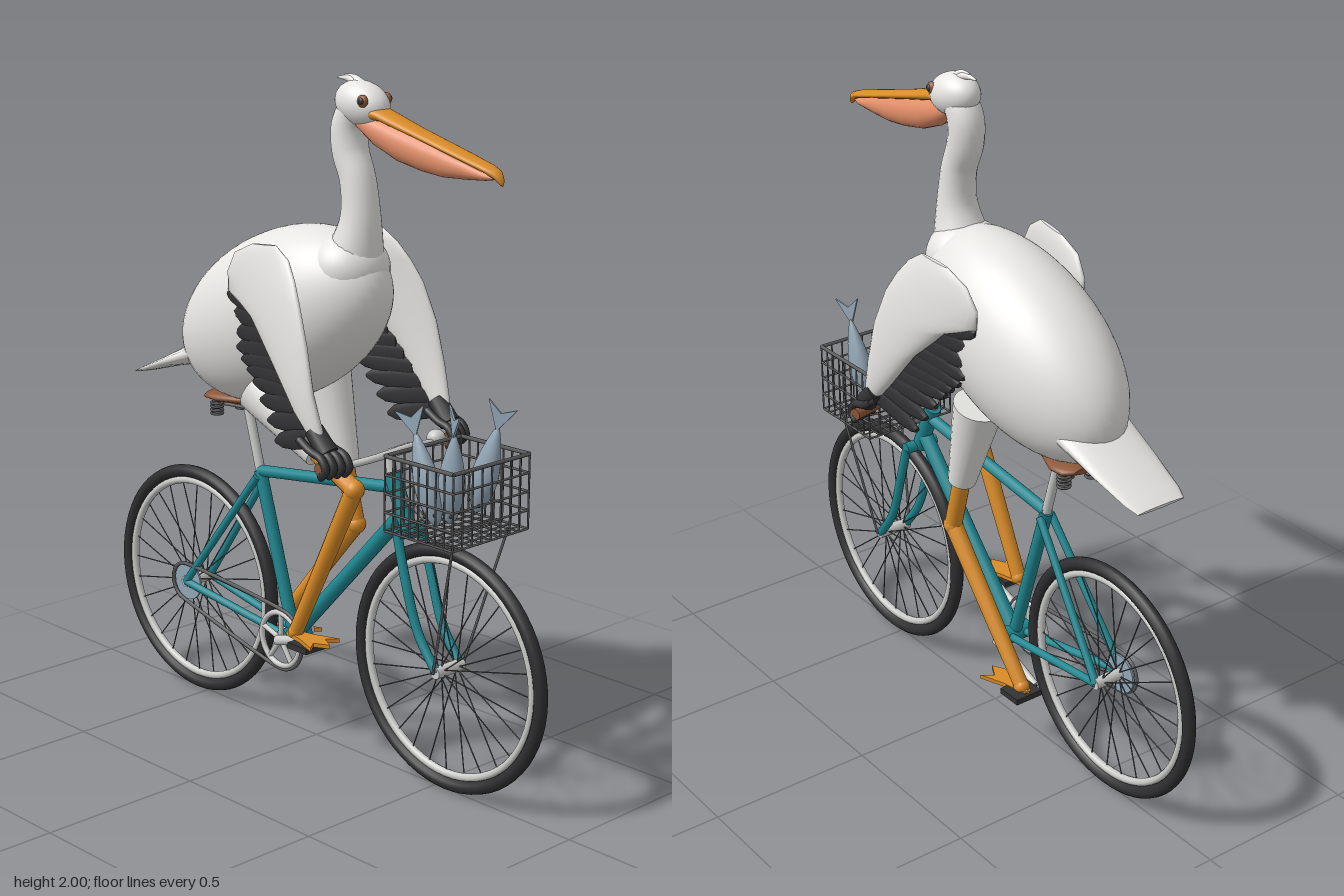
import * as THREE from 'three';

const mat = (name, color, side = THREE.FrontSide) => {
  const m = new THREE.MeshStandardMaterial({ color, side });
  m.name = name;
  return m;
};
const V = (x, y, z = 0) => new THREE.Vector3(x, y, z);
const X = V(1, 0), Y = V(0, 1), Z = V(0, 0, 1);

export function createModel() {
  const plumage = mat('plumage', 0xe6e5e2), black = mat('flight feathers', 0x333335);
  const rubber = mat('rubber', 0x2e2e30), teal = mat('frame paint', 0x1f8791);
  const orange = mat('bill and leg orange', 0xd98c28), salmon = mat('pouch', 0xe28e68);
  const silver = mat('silver', 0xcacac8), brown = mat('leather', 0x8c5636);
  const fishBlue = mat('fish blue', 0x92a6b6, THREE.DoubleSide), wire = mat('wire', 0x5c5c5c);

  const root = new THREE.Group();
  root.name = 'birdOnBicycle';
  const group = (name) => {
    const g = new THREE.Group();
    g.name = name;
    root.add(g);
    return g;
  };
  const add = (g, name, geo, m, p = V(0, 0)) => {
    const mesh = new THREE.Mesh(geo, m);
    mesh.name = name;
    mesh.position.copy(p);
    g.add(mesh);
    return mesh;
  };
  const ball = (g, name, p, sx, sy, sz, m, seg = 24) => {
    const b = add(g, name, new THREE.SphereGeometry(1, seg, Math.ceil(seg * 0.7)), m, p);
    b.scale.set(sx, sy, sz);
    return b;
  };
  const rod = (g, name, a, b, r0, m, r1 = r0, seg = 12) => {
    const d = b.clone().sub(a);
    const c = add(g, name, new THREE.CylinderGeometry(r1, r0, d.length(), seg), m, a.clone().lerp(b, 0.5));
    c.quaternion.setFromUnitVectors(Y, d.normalize());
    return c;
  };
  const tube = (g, name, pts, r, m, closed = false, n = 24, seg = 10) =>
    add(g, name, new THREE.TubeGeometry(new THREE.CatmullRomCurve3(pts, closed), n, r, seg, closed), m);
  // Elliptical cross-section
  const ring = (c, u, v, ru, rv, n = 20) => Array.from({ length: n }, (_, i) => {
    const a = i / n * Math.PI * 2;
    return c.clone().addScaledVector(u, ru * Math.cos(a)).addScaledVector(v, rv * Math.sin(a));
  });
  // Closed skin over cross-sections, turned to face outwards
  const loft = (g, name, rings, m) => {
    const n = rings[0].length, pts = rings.flat(), idx = [];
    for (let j = 0; j < rings.length - 1; j++) for (let i = 0; i < n; i++) {
      const a = j * n + i, b = j * n + (i + 1) % n;
      idx.push(a, b, a + n, b, b + n, a + n);
    }
    for (const [r, flip] of [[rings[0], true], [rings[rings.length - 1], false]]) {
      const o = pts.length;
      const c = r.reduce((s, p) => s.add(p), V(0, 0)).divideScalar(n);
      pts.push(...r, c);
      for (let i = 0; i < n; i++) {
        const a = o + i, b = o + (i + 1) % n;
        idx.push(...(flip ? [b, a, o + n] : [a, b, o + n]));
      }
    }
    let vol = 0;
    for (let i = 0; i < idx.length; i += 3)
      vol += pts[idx[i]].clone().sub(pts[0]).dot(pts[idx[i + 1]].clone().sub(pts[0]).cross(pts[idx[i + 2]].clone().sub(pts[0])));
    if (vol < 0) idx.reverse();
    const geo = new THREE.BufferGeometry().setFromPoints(pts);
    geo.setIndex(idx);
    geo.computeVertexNormals();
    return add(g, name, geo, m);
  };
  // Round limb in the xy plane through [x, y, radius] points
  const limb = (g, name, pts, z, m, n = 20) => {
    const c = new THREE.CatmullRomCurve3(pts.map((p) => V(...p)));
    const rings = Array.from({ length: n + 1 }, (_, i) => {
      const p = c.getPoint(i / n), t = c.getTangent(i / n);
      return ring(V(p.x, p.y, z), V(-t.y, t.x).normalize(), Z, p.z, p.z);
    });
    return loft(g, name, rings, m);
  };

  // Wheels
  const rear = V(-0.543, 0.365), front = V(0.541, 0.365), bb = V(-0.098, 0.294);
  for (const [name, c] of [['rearWheel', rear], ['frontWheel', front]]) {
    const g = group(name);
    g.position.copy(c);
    add(g, 'tyre', new THREE.TorusGeometry(0.345, 0.02, 12, 64), rubber);
    add(g, 'rim', new THREE.TorusGeometry(0.316, 0.012, 8, 64), silver);
    rod(g, 'hub', V(0, 0, -0.055), V(0, 0, 0.055), 0.018, silver);
    for (let i = 0; i < 28; i++) {
      const a = i / 28 * Math.PI * 2, b = a + (i % 4 < 2 ? 0.25 : -0.25), s = i % 2 ? 1 : -1;
      rod(g, 'spoke', V(0.016 * Math.cos(b), 0.016 * Math.sin(b), s * 0.03),
        V(0.31 * Math.cos(a), 0.31 * Math.sin(a), 0), 0.002, wire, 0.002, 5);
    }
  }

  // Frame
  const frame = group('frame');
  const seatTop = V(-0.246, 0.78), headTop = V(0.312, 0.89), headLow = V(0.385, 0.73);
  rod(frame, 'seatTube', bb, seatTop, 0.02, teal);
  rod(frame, 'topTube', seatTop, V(0.325, 0.85), 0.018, teal);
  rod(frame, 'downTube', bb, V(0.362, 0.785), 0.023, teal);
  rod(frame, 'headTube', headTop, headLow, 0.025, teal);
  rod(frame, 'bottomBracket', V(bb.x, bb.y, -0.05), V(bb.x, bb.y, 0.05), 0.028, teal);
  rod(frame, 'forkCrown', V(0.385, 0.735, -0.055), V(0.385, 0.735, 0.055), 0.018, teal);
  for (const s of [1, -1]) {
    rod(frame, 'seatStay', V(-0.24, 0.765, s * 0.02), V(rear.x, rear.y, s * 0.05), 0.012, teal);
    rod(frame, 'chainStay', V(bb.x, bb.y, s * 0.025), V(rear.x, rear.y, s * 0.05), 0.012, teal);
    tube(frame, 'forkBlade', [V(0.385, 0.735, s * 0.05), V(0.42, 0.61, s * 0.052),
      V(0.47, 0.465, s * 0.05), V(0.541, 0.365, s * 0.048)], 0.014, teal);
  }

  // Saddle on its post
  const saddle = group('saddle');
  rod(saddle, 'seatPost', seatTop, V(-0.304, 0.985), 0.015, silver);
  loft(saddle, 'seat', [[-0.43, 0.05, 0.01], [-0.41, 0.08, 0.018], [-0.36, 0.085, 0.02], [-0.28, 0.05, 0.018],
    [-0.2, 0.028, 0.016], [-0.155, 0.02, 0.01]].map(([x, w, h]) => ring(V(x, 0.997), Y, Z, h, w)), brown);
  for (const s of [1, -1]) {
    rod(saddle, 'rail', V(-0.4, 0.968, s * 0.03), V(-0.2, 0.975, s * 0.015), 0.005, wire);
    for (let i = 0; i < 4; i++) {
      const coil = add(saddle, 'spring', new THREE.TorusGeometry(0.018, 0.004, 6, 16), wire, V(-0.385, 0.942 + i * 0.011, s * 0.05));
      coil.rotation.x = Math.PI / 2;
    }
  }

  // Chain drive and cranks
  const drive = group('drivetrain');
  rod(drive, 'rearCog', V(rear.x, rear.y, 0.038), V(rear.x, rear.y, 0.044), 0.06, fishBlue, 0.06, 32);
  add(drive, 'chainring', new THREE.TorusGeometry(0.083, 0.009, 8, 40), silver, V(bb.x, bb.y, 0.055));
  for (let i = 0; i < 5; i++) {
    const a = i * Math.PI * 0.4 + 0.3;
    rod(drive, 'chainringArm', V(bb.x, bb.y, 0.055), V(bb.x + 0.08 * Math.cos(a), bb.y + 0.08 * Math.sin(a), 0.055), 0.008, silver);
  }
  const chain = [];
  for (let i = 0; i <= 8; i++) {
    const a = 1.5 + i * 0.385;
    chain.push(V(rear.x + 0.06 * Math.cos(a), rear.y + 0.06 * Math.sin(a), 0.052));
  }
  for (let i = 0; i <= 8; i++) {
    const a = -1.78 + i * 0.41;
    chain.push(V(bb.x + 0.094 * Math.cos(a), bb.y + 0.094 * Math.sin(a), 0.055));
  }
  tube(drive, 'chain', chain, 0.006, wire, true, 120, 6);
  for (const s of [1, -1]) {
    const end = V(bb.x + s * 0.2, bb.y + s * 0.055, s * 0.075);
    rod(drive, 'crank', V(bb.x, bb.y, s * 0.068), end, 0.016, silver, 0.011);
    rod(drive, 'pedalAxle', end, V(end.x, end.y, s * 0.17), 0.007, wire);
    add(drive, 'pedal', new THREE.BoxGeometry(0.08, 0.018, 0.09), black, V(end.x, end.y, s * 0.13));
  }

  // Handlebar, grips and bell
  const bar = group('handlebar');
  rod(bar, 'stem', headTop, V(0.3, 0.95), 0.015, silver);
  rod(bar, 'stemReach', V(0.3, 0.945), V(0.38, 0.98), 0.014, silver);
  tube(bar, 'bar', [[0.31, 0.955, -0.26], [0.33, 0.955, -0.2], [0.37, 0.97, -0.12], [0.382, 0.982, 0],
    [0.37, 0.97, 0.12], [0.33, 0.955, 0.2], [0.31, 0.955, 0.26]].map((p) => V(...p)), 0.011, silver, false, 40);
  for (const s of [1, -1]) rod(bar, 'grip', V(0.33, 0.955, s * 0.195), V(0.308, 0.955, s * 0.285), 0.018, brown);
  ball(bar, 'bell', V(0.372, 0.985, -0.115), 0.027, 0.024, 0.027, silver, 16);

  // Wire basket with struts
  const basket = group('basket');
  const x0 = 0.435, x1 = 0.692, y0 = 0.78, y1 = 0.995, w = 0.152;
  for (let j = 0; j < 5; j++) {
    const y = y0 + (y1 - y0) * j / 4, r = j === 4 ? 0.006 : 0.0035;
    const c = [V(x0, y, -w), V(x1, y, -w), V(x1, y, w), V(x0, y, w)];
    c.forEach((p, i) => rod(basket, 'hoop', p, c[(i + 1) % 4], r, wire, r, 6));
  }
  for (let i = 0; i <= 8; i++) {
    const x = x0 + (x1 - x0) * i / 8, z = -w + 2 * w * i / 8;
    for (const s of [1, -1]) {
      rod(basket, 'sideWire', V(x, y0, s * w), V(x, y1, s * w), 0.003, wire, 0.003, 6);
      rod(basket, 'endWire', V(s > 0 ? x1 : x0, y0, z), V(s > 0 ? x1 : x0, y1, z), 0.003, wire, 0.003, 6);
    }
    rod(basket, 'floorWire', V(x, y0, -w), V(x, y0, w), 0.003, wire, 0.003, 6);
    rod(basket, 'floorWire', V(x0, y0, z), V(x1, y0, z), 0.003, wire, 0.003, 6);
  }
  for (const s of [1, -1]) rod(basket, 'strut', V(0.655, y0, s * 0.11), V(front.x, front.y, s * 0.062), 0.004, wire);
  rod(basket, 'bracket', V(0.36, 0.83), V(0.45, y0), 0.008, wire);

  // Fish standing tail-up
  const tail = new THREE.Shape([[0, -0.02], [0.045, 0.062], [0, 0.035], [-0.045, 0.062]].map((p) => new THREE.Vector2(...p)));
  [[0.53, 0.925, 0.085, 0.3, 0.03, 0.4], [0.6, 0.935, 0.06, -0.13, 0.08, -0.5], [0.61, 0.94, -0.065, -0.26, -0.04, 0.3]]
    .forEach(([x, y, z, rz, rx, turn]) => {
      const f = group('fish');
      f.position.set(x, y, z);
      f.rotation.set(rx, 0, rz);
      const profile = [[0, -0.125], [0.02, -0.105], [0.038, -0.05], [0.042, 0], [0.032, 0.06], [0.014, 0.12], [0, 0.15]];
      const body = add(f, 'fishBody', new THREE.LatheGeometry(new THREE.SplineCurve(profile.map((p) => new THREE.Vector2(...p))).getPoints(20), 20), fishBlue);
      body.scale.z = 0.75;
      add(f, 'fishTail', new THREE.ExtrudeGeometry(tail, { depth: 0.006, bevelEnabled: false }), fishBlue, V(0, 0.15, 0)).rotation.y = turn;
      for (const s of [1, -1]) ball(f, 'fishEye', V(s * 0.02, -0.09, 0.018), 0.005, 0.005, 0.005, black, 8);
    });

  // Bird body, tail and neck
  const bird = group('bird');
  ball(bird, 'body', V(-0.135, 1.28), 0.425, 0.245, 0.205, plumage, 48).rotation.z = 0.43;
  ball(bird, 'breast', V(0.135, 1.455), 0.115, 0.105, 0.12, plumage, 32);
  loft(bird, 'tail', [[-0.42, 1.135, 0.125, 0.045], [-0.58, 1.075, 0.112, 0.022], [-0.7, 1.03, 0.095, 0.012], [-0.738, 1.016, 0.082, 0.006]]
    .map(([x, y, wz, h]) => ring(V(x, y), V(-0.35, 0.94), Z, h, wz)), plumage);
  limb(bird, 'neck', [[0.14, 1.45, 0.1], [0.168, 1.53, 0.075], [0.18, 1.61, 0.058], [0.168, 1.71, 0.052],
    [0.138, 1.79, 0.053], [0.136, 1.86, 0.053], [0.17, 1.92, 0.05]], 0, plumage, 36);

  // Head, crest, eyes and bill
  ball(bird, 'head', V(0.185, 1.922), 0.092, 0.063, 0.061, plumage, 32).rotation.z = -0.2;
  limb(bird, 'crest', [[0.17, 1.965, 0.02], [0.14, 1.985, 0.012], [0.085, 1.987, 0.002]], 0, plumage);
  limb(bird, 'crest', [[0.18, 1.97, 0.018], [0.155, 1.99, 0.009], [0.115, 1.997, 0.002]], 0, plumage);
  for (const s of [1, -1]) {
    ball(bird, 'eye', V(0.232, 1.935, s * 0.046), 0.018, 0.018, 0.012, brown, 16);
    ball(bird, 'pupil', V(0.234, 1.936, s * 0.055), 0.01, 0.01, 0.006, black, 12);
  }
  loft(bird, 'upperBill', [[0.2, 1.91, 0.03, 0.045], [0.27, 1.898, 0.018, 0.04], [0.4, 1.862, 0.014, 0.034], [0.58, 1.814, 0.012, 0.032],
    [0.66, 1.792, 0.012, 0.028], [0.69, 1.779, 0.014, 0.02], [0.705, 1.764, 0.012, 0.01], [0.708, 1.754, 0.004, 0.004]]
    .map(([x, y, h, z]) => ring(V(x, y), Y, Z, h, z)), orange);
  loft(bird, 'pouch', [[0.19, 1.9, 1.85, 0.035], [0.25, 1.893, 1.81, 0.038], [0.33, 1.873, 1.778, 0.036], [0.42, 1.85, 1.76, 0.033],
    [0.5, 1.83, 1.752, 0.03], [0.58, 1.808, 1.755, 0.026], [0.65, 1.785, 1.76, 0.02], [0.68, 1.775, 1.765, 0.01]]
    .map(([x, a, b, z]) => ring(V(x, (a + b) / 2), Y, Z, (a - b) / 2, z)), salmon);

  // Wings reaching to the grips
  for (const s of [1, -1]) {
    const wing = group(s > 0 ? 'rightWing' : 'leftWing');
    // Trailing point, leading point (x, y, z), half thickness
    const sections = [[-0.05, 1.525, 0.2, 0.06, 1.535, 0.21, 0.006], [-0.13, 1.49, 0.195, 0.115, 1.5, 0.215, 0.02],
      [-0.168, 1.43, 0.188, 0.155, 1.45, 0.23, 0.025], [-0.165, 1.375, 0.188, 0.19, 1.39, 0.245, 0.028], [-0.05, 1.33, 0.21, 0.232, 1.28, 0.257, 0.028],
      [0.07, 1.22, 0.235, 0.263, 1.15, 0.262, 0.025], [0.17, 1.1, 0.245, 0.288, 1.06, 0.255, 0.022], [0.225, 1.04, 0.245, 0.296, 1.02, 0.248, 0.016]];
    loft(wing, 'wing', sections.map(([ax, ay, az, bx, by, bz, t]) => {
      const a = V(ax, ay, s * az), b = V(bx, by, s * bz), u = b.clone().sub(a);
      return ring(a.clone().lerp(b, 0.5), u, u.clone().cross(V(0.3, -0.95)).normalize(), 0.5, t, 28);
    }), plumage);
    const tips = new THREE.CatmullRomCurve3([V(-0.165, 1.365, 0.19), V(-0.12, 1.215, 0.195), V(-0.04, 1.13, 0.205), V(0.075, 0.98, 0.225)]);
    for (let i = 0; i < 10; i++) {
      const k = i / 9, base = V(-0.02 + 0.28 * k, 1.345 - 0.315 * k, s * (0.212 + 0.03 * k));
      const tip = tips.getPoint(k);
      tip.z *= s;
      const u = tip.clone().sub(base), p = V(-u.y, u.x).normalize();
      loft(wing, 'flightFeather', [[0, 0.03], [0.6, 0.03], [0.88, 0.022], [1, 0.008]]
        .map(([t, r]) => ring(base.clone().addScaledVector(u, t), p, Z, r, 0.008, 10)), black);
    }
    // Dark wrist and fingertips wrapped over the grip
    rod(wing, 'wrist', V(0.25, 1.05, s * 0.245), V(0.305, 0.99, s * 0.243), 0.028, black, 0.032);
    for (let i = 0; i < 4; i++) {
      const z = s * (0.208 + i * 0.024), o = -i * 0.006;
      tube(wing, 'finger', [V(0.245 + o, 1.025, z), V(0.29 + o, 1.0, z), V(0.335 + o, 0.985, z), V(0.352 + o, 0.955, z), V(0.335 + o, 0.935, z)], 0.012, black);
      ball(wing, 'fingerTip', V(0.335 + o, 0.935, z), 0.012, 0.012, 0.012, black, 10);
    }
  }

  // Legs: thigh, joints, shank and webbed foot
  const foot = new THREE.Shape([[-0.03, 0.012], [0.05, 0.03], [0.125, 0.058], [0.1, 0.024], [0.145, 0], [0.1, -0.024], [0.125, -0.058], [0.05, -0.03], [-0.03, -0.012]]
    .map((p) => new THREE.Vector2(...p)));
  for (const [name, z, hip, mid, knee, ankle] of [
    ['rightLeg', 0.125, [-0.1, 1.08], [0.14, 0.935], [0.287, 0.86], [0.045, 0.375]],
    ['leftLeg', -0.125, [-0.09, 1.1], [-0.005, 0.82], [0.04, 0.65], [-0.295, 0.255]]]) {
    const leg = group(name), [a, b, c, d] = [hip, mid, knee, ankle].map(([x, y]) => V(x, y, z));
    rod(leg, 'thigh', a, b, 0.075, plumage, 0.042, 20);
    rod(leg, 'upperShank', b, c, 0.027, orange);
    ball(leg, 'knee', c, 0.03, 0.03, 0.03, orange, 16);
    rod(leg, 'lowerShank', c, d, 0.027, orange, 0.022);
    ball(leg, 'ankle', d, 0.024, 0.024, 0.024, orange, 12);
    add(leg, 'webbedFoot', new THREE.ExtrudeGeometry(foot, { depth: 0.012, bevelEnabled: false }), orange, V(d.x, d.y - 0.004, z)).rotation.x = Math.PI / 2;
    const claw = rod(leg, 'hindToe', d, V(d.x - 0.035, d.y - 0.012, z), 0.012, orange, 0.004);
    claw.scale.z = 0.8;
  }
  return root;
}
